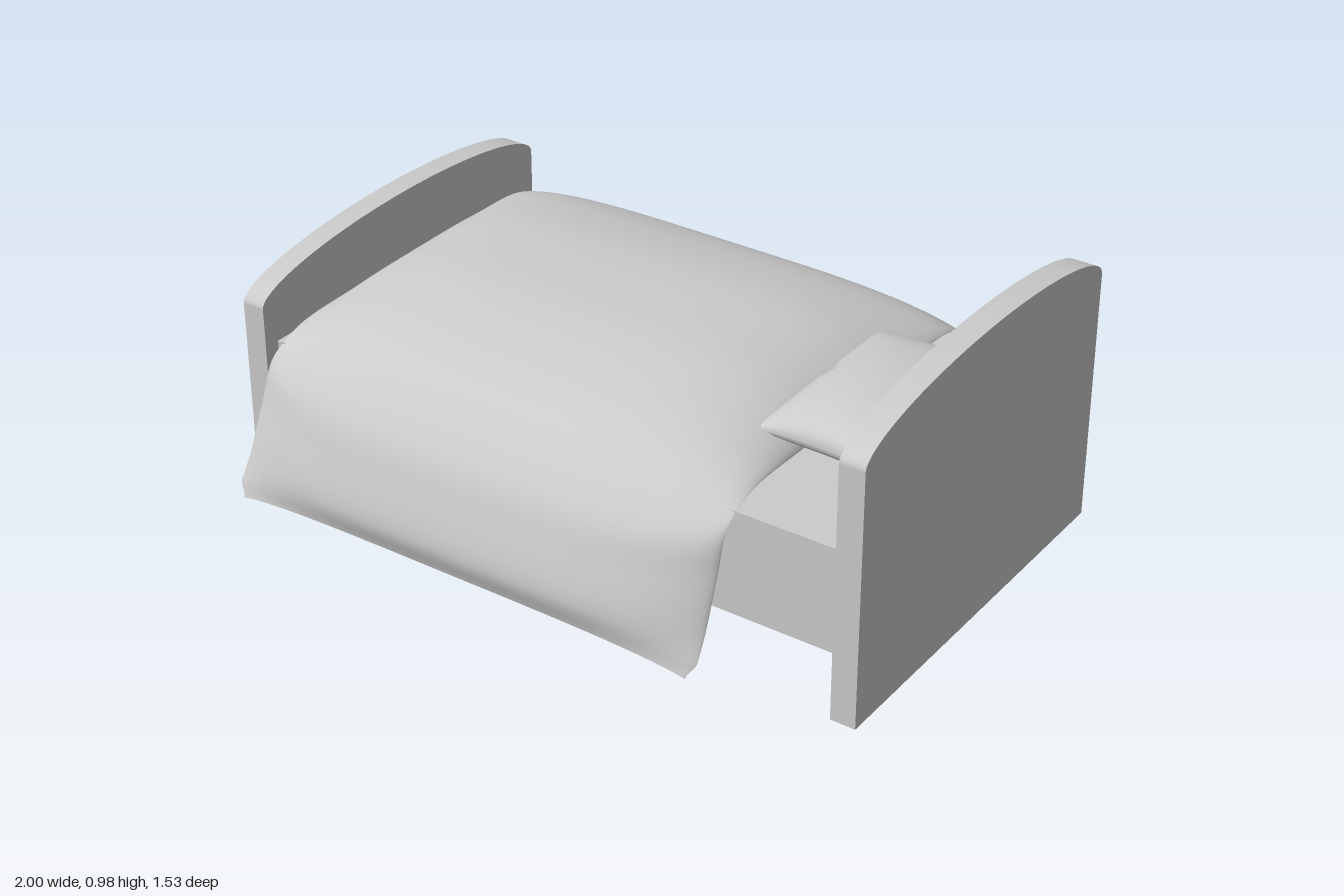
import * as THREE from 'three';

const grey = new THREE.MeshStandardMaterial({ color: 0xcccccc, side: THREE.DoubleSide });

function addMesh(parent, name, geometry) {
  const mesh = new THREE.Mesh(geometry, grey);
  mesh.name = name;
  parent.add(mesh);
  return mesh;
}

// Upright board with an elliptical arch along its top edge
function board(x0, x1, shoulder, top) {
  const half = 0.61;
  const shape = new THREE.Shape();
  shape.moveTo(-half, 0.1);
  shape.lineTo(half, 0.1);
  shape.lineTo(half, shoulder);
  shape.absellipse(0, shoulder, half, top - shoulder, 0, Math.PI, false, 0);
  shape.closePath();
  const geo = new THREE.ExtrudeGeometry(shape, { depth: x1 - x0, bevelEnabled: false, curveSegments: 40 });
  return geo.rotateY(Math.PI / 2).translate(x0, 0, 0.01);
}

// Smooth sheet: rule(u, v) with u, v in -1..1 (u along +x, v towards -z)
function sheet(rule, nu, nv, flip) {
  const geo = new THREE.PlaneGeometry(2, 2, nu, nv);
  const p = geo.attributes.position;
  for (let i = 0; i < p.count; i++) {
    // sine spacing packs rows near the seams
    const u = Math.sin(p.getX(i) * Math.PI / 2) * (flip ? -1 : 1);
    const q = rule(u, p.getY(i));
    p.setXYZ(i, q.x, q.y, q.z);
  }
  geo.computeVertexNormals();
  return geo;
}

// Duvet cross-sections as [z, y], from the front hem over the bed to the back hem
const section = (pts) => new THREE.CatmullRomCurve3(pts.map(([z, y]) => new THREE.Vector3(0, y, z)));
const seam = section([
  [0.74, 0.145], [0.69, 0.26], [0.64, 0.42], [0.6, 0.55], [0.5, 0.6], [0.25, 0.605], [0, 0.605],
  [-0.25, 0.605], [-0.5, 0.6], [-0.59, 0.55], [-0.62, 0.42], [-0.645, 0.2], [-0.66, 0.01],
]);
const outer = section([
  [0.745, 0.175], [0.765, 0.25], [0.735, 0.38], [0.685, 0.5], [0.53, 0.65], [0.25, 0.735], [0, 0.75],
  [-0.25, 0.735], [-0.53, 0.65], [-0.69, 0.5], [-0.755, 0.32], [-0.755, 0.12], [-0.69, 0.045],
]);
const inner = section([
  [0.745, 0.175], [0.66, 0.26], [0.62, 0.36], [0.585, 0.48], [0.5, 0.575], [0.25, 0.575], [0, 0.575],
  [-0.25, 0.575], [-0.5, 0.575], [-0.58, 0.48], [-0.6, 0.32], [-0.63, 0.14], [-0.69, 0.045],
]);

// Blend from the flat end seams to the full section in the middle
function duvetRule(full) {
  return (u, v) => {
    const t = THREE.MathUtils.clamp((1 - v) / 2, 0, 1);
    const puff = Math.pow(Math.max(0, 1 - u ** 4), 0.7);
    const q = seam.getPoint(t).lerp(full.getPoint(t), puff);
    const drop = THREE.MathUtils.clamp((Math.abs(v) - 0.45) / 0.5, 0, 1);
    const round = 0.025 * THREE.MathUtils.smoothstep(Math.abs(v), 0.93, 1);
    const left = -0.915 - 0.055 * drop + round;
    const right = 0.597 - 0.012 * drop - round;
    q.x = THREE.MathUtils.lerp(left, right, (u + 1) / 2);
    return q;
  };
}

// Pillow half: pointed corners, hollow edges and a small pinch mid-edge
function pillowRule(height) {
  return (u, v0) => {
    const v = Math.sin(v0 * Math.PI / 2);
    const puff = Math.pow(Math.max(0, (1 - u * u) * (1 - v * v)), 0.42);
    const pinch = 0.02 * Math.exp(-((v / 0.1) ** 2)) * u ** 4;
    const x = 0.705 + u * (0.215 - 0.015 * (1 - v * v) - pinch);
    const z = 0.01 - v * (0.315 + 0.008 * u - 0.02 * (1 - u * u));
    return new THREE.Vector3(x, 0.66 + height * puff, z);
  };
}

export function createModel() {
  const model = new THREE.Group();
  model.name = 'bed';

  // Frame
  addMesh(model, 'headboard', board(0.925, 1, 0.865, 0.985));
  addMesh(model, 'footboard', board(-1, -0.93, 0.7, 0.81));
  addMesh(model, 'mattress', new THREE.BoxGeometry(1.855, 0.315, 1.13)).position.set(-0.0025, 0.4225, 0.005);

  // Duvet
  const duvet = new THREE.Group();
  duvet.name = 'duvet';
  addMesh(duvet, 'duvetTop', sheet(duvetRule(outer), 48, 96, false));
  addMesh(duvet, 'duvetLining', sheet(duvetRule(inner), 48, 96, true));
  model.add(duvet);

  // Pillow
  const pillow = new THREE.Group();
  pillow.name = 'pillow';
  addMesh(pillow, 'pillowTop', sheet(pillowRule(0.095), 36, 36, false));
  addMesh(pillow, 'pillowUnderside', sheet(pillowRule(-0.065), 36, 36, true));
  model.add(pillow);

  return model;
}
